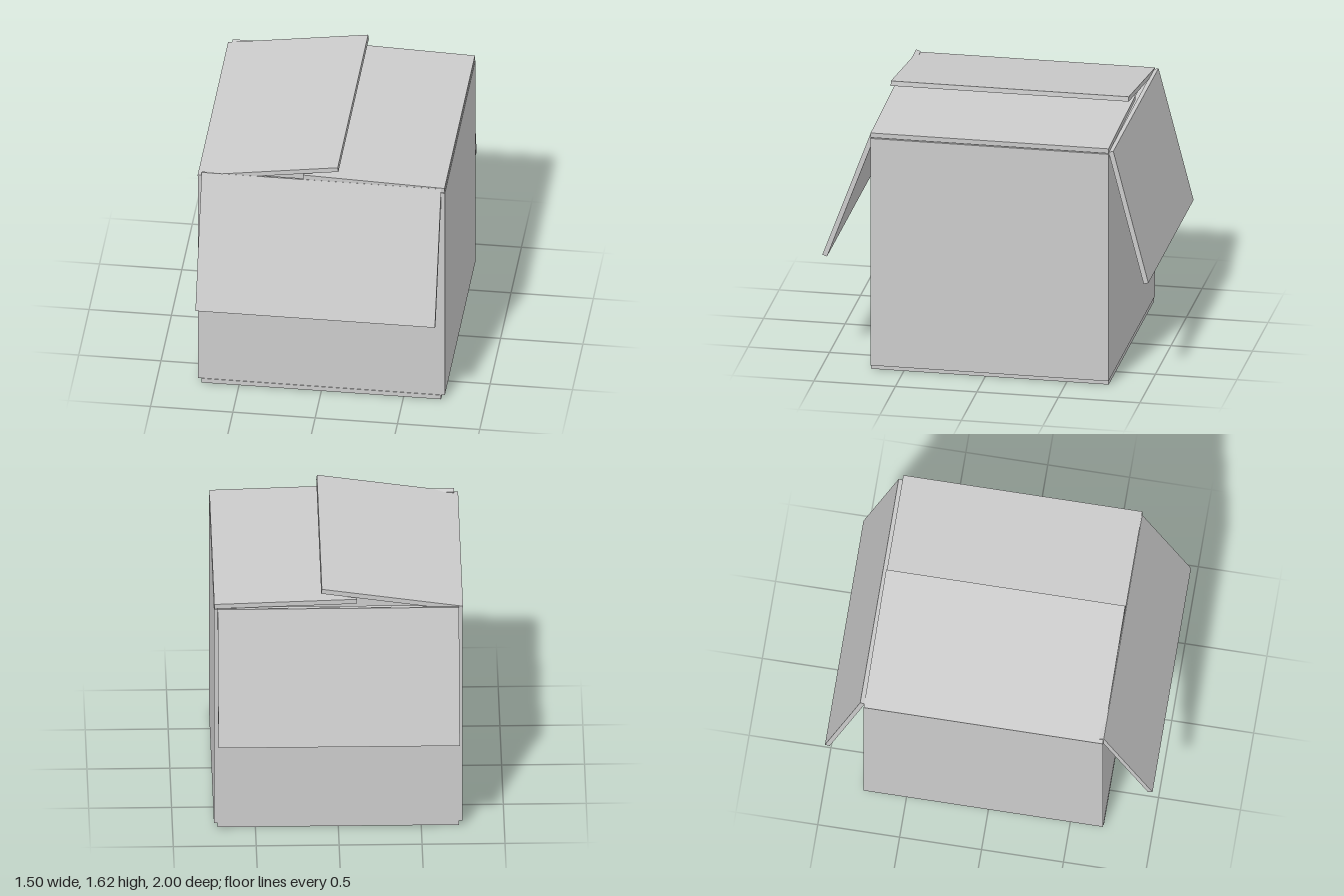
import * as THREE from 'three';

const T = 0.03; // board thickness
const FRONT = 0.70, BACK = -0.76;
const DEPTH = FRONT - BACK, MID = (FRONT + BACK) / 2;
const LENGTH = 0.86; // flap length from hinge to free edge

export function createModel() {
  const carton = new THREE.Group();
  carton.name = 'openCarton';
  const material = new THREE.MeshStandardMaterial({ color: 0xcccccc });

  function board(name, w, h, d, x, y, z, parent = carton) {
    const mesh = new THREE.Mesh(new THREE.BoxGeometry(w, h, d), material);
    mesh.name = name;
    mesh.position.set(x, y, z);
    parent.add(mesh);
    return mesh;
  }

  // Hinge at the outer upper corner; the board extends away from it
  function hinge(name, x, y, z) {
    const group = new THREE.Group();
    group.name = name;
    group.position.set(x, y, z);
    carton.add(group);
    return group;
  }

  // Base, slightly narrower than the walls
  board('base', 1.455, T, DEPTH, 0, T / 2, MID + 0.003);

  // Four upright walls around a hollow interior
  const wallH = 1.46, wallY = T + wallH / 2;
  for (const [side, s] of [['left', 1], ['right', -1]]) {
    board(side + 'Wall', T, wallH, DEPTH, s * (0.75 - T / 2), wallY, MID);
  }
  board('frontWall', 1.5 - 2 * T, wallH, T, 0, wallY, FRONT - T / 2);
  board('backWall', 1.5 - 2 * T, wallH, T, 0, wallY, BACK + T / 2);

  // Top flaps: the right one is propped up over the nearly flat left one
  const rightFlap = hinge('rightFlapHinge', -0.752, 1.497, MID);
  board('rightFlap', LENGTH, T, DEPTH, LENGTH / 2, -T / 2, 0, rightFlap);
  rightFlap.rotation.z = 0.145;

  const leftFlap = hinge('leftFlapHinge', 0.748, 1.525, MID);
  board('leftFlap', LENGTH, T, DEPTH, -LENGTH / 2, -T / 2, 0, leftFlap);
  leftFlap.rotation.z = -0.03;

  // End flaps hanging outward at the front and back
  const frontFlap = hinge('frontFlapHinge', 0, 1.52, 0.702);
  board('frontFlap', 1.455, LENGTH, T, 0, -LENGTH / 2, -T / 2, frontFlap);
  frontFlap.rotation.x = -0.354;

  const backFlap = hinge('backFlapHinge', 0, 1.503, -0.785);
  board('backFlap', 1.455, LENGTH, T, 0, -LENGTH / 2, T / 2, backFlap);
  backFlap.rotation.x = 0.253;

  return carton;
}
